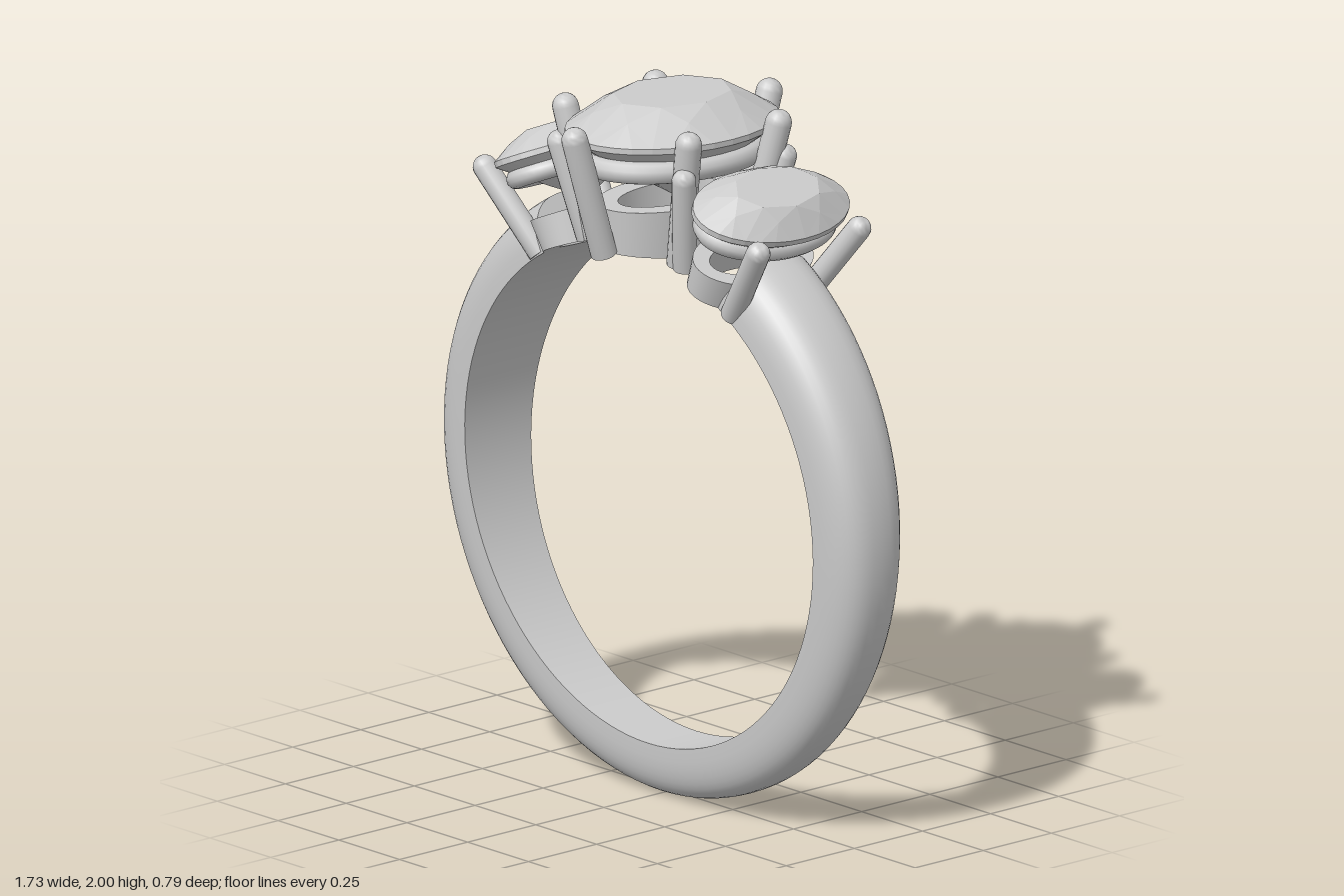
import * as THREE from 'three';
import { toCreasedNormals } from 'three/addons/utils/BufferGeometryUtils.js';
import { ParametricGeometry } from 'three/addons/geometries/ParametricGeometry.js';

const CENTRE_Y = 0.87, INNER = 0.715, THICK = 0.152;
const metal = new THREE.MeshStandardMaterial({ color: 0xcccccc });
const gem = new THREE.MeshStandardMaterial({ color: 0xcccccc, flatShading: true });

function part(name, geometry, material = metal) {
  const mesh = new THREE.Mesh(geometry, material);
  mesh.name = name;
  return mesh;
}

// Open band: flat inside, rounded outside, narrowing towards the bottom
function bandGeometry() {
  const start = THREE.MathUtils.degToRad(30), sweep = 2 * (Math.PI - start);
  const rows = 98;
  const surface = (u, v, target) => {
    const row = Math.round(v * rows);
    const k = THREE.MathUtils.clamp((row - 1) / (rows - 2), 0, 1);
    const a = start + sweep * k;
    const cap = row === 0 || row === rows ? 0 : 1; // closes both ends
    const t = u * 2 * Math.PI;
    const c = Math.cos(t), s = Math.max(0, Math.sin(t));
    const r = INNER + THICK * (cap ? Math.pow(s, 0.75) : 0.5);
    const w = 0.122 + 0.033 * Math.cos(a);
    const z = -w * Math.sign(c) * Math.pow(Math.abs(c), 0.75) * cap;
    target.set(r * Math.sin(a), r * Math.cos(a), z);
  };
  return toCreasedNormals(new ParametricGeometry(surface, 40, rows), 0.8);
}

// Oval collar with a flat top; its underside follows the finger hole
function collarGeometry(rx, rz, top, wall) {
  const surface = (u, v, target) => {
    const corner = Math.round(u * 4) % 4;
    const a = v * 2 * Math.PI;
    const inset = corner >= 2 ? wall : 0;
    const flare = corner === 1 || corner === 2 ? 0.01 : 0;
    const x = (rx - inset + flare) * Math.cos(a);
    const z = (rz - inset + flare) * Math.sin(a);
    const y = corner === 1 || corner === 2 ? top : Math.sqrt(INNER * INNER - x * x);
    target.set(x, y, z);
  };
  return toCreasedNormals(new ParametricGeometry(surface, 4, 48), 0.7);
}

// Oval wire under the stone
function railGeometry(rx, rz, y, radius) {
  const points = [];
  for (let i = 0; i < 24; i++) {
    const a = i / 24 * 2 * Math.PI;
    points.push(new THREE.Vector3(rx * Math.cos(a), y, rz * Math.sin(a)));
  }
  return new THREE.TubeGeometry(new THREE.CatmullRomCurve3(points, true), 64, radius, 10, true);
}

// Round-tipped claw from base to tip
function prong(base, tip, radius) {
  const length = base.distanceTo(tip);
  const profile = [new THREE.Vector2(0, 0), new THREE.Vector2(radius, 0)];
  for (let i = 0; i <= 6; i++) {
    const a = i / 6 * Math.PI / 2;
    profile.push(new THREE.Vector2(radius * Math.cos(a), length + radius * Math.sin(a)));
  }
  const mesh = part('prong', toCreasedNormals(new THREE.LatheGeometry(profile, 16), 0.8));
  mesh.position.copy(base);
  mesh.quaternion.setFromUnitVectors(new THREE.Vector3(0, 1, 0), tip.clone().sub(base).normalize());
  return mesh;
}

// Faceted oval stone: table, stars, kites, girdle and pavilion
function stoneGeometry(rx, rz, girdle, crown, depth) {
  const positions = [], step = Math.PI / 4, edge = 0.016;
  const at = (i, scale, y) => {
    const a = i * step;
    return [rx * scale * Math.cos(a), y, rz * scale * Math.sin(a)];
  };
  const tri = (a, b, c) => positions.push(...a, ...b, ...c);
  const table = i => at(i, 0.56, girdle + crown);
  const star = i => at(i + 0.5, 0.76, girdle + crown * 0.6);
  const rim = i => at(i, 1, girdle);
  const low = i => at(i, 1, girdle - edge);
  const lower = i => at(i + 0.5, 0.4, girdle - edge - (depth - edge) * 0.62);
  const culet = [0, girdle - depth, 0];
  for (let i = 0; i < 8; i++) {
    tri([0, girdle + crown, 0], table(i + 1), table(i));
    tri(table(i), table(i + 1), star(i));
    tri(table(i), star(i), rim(i));
    tri(table(i), rim(i), star(i - 1));
    tri(culet, low(i).map((c, k) => c * 0.25 + culet[k] * 0.75), lower(i));
    tri(culet, lower(i), low(i + 1).map((c, k) => c * 0.25 + culet[k] * 0.75));
    tri(low(i).map((c, k) => c * 0.25 + culet[k] * 0.75), low(i), lower(i));
    tri(low(i + 1).map((c, k) => c * 0.25 + culet[k] * 0.75), lower(i), low(i + 1));
    for (let j = 0; j < 4; j++) {
      const a = i + j / 4, b = a + 0.25;
      tri(star(i), rim(b), rim(a));
      tri(rim(a), rim(b), low(b));
      tri(rim(a), low(b), low(a));
      tri(lower(i), low(a), low(b));
    }
  }
  const geometry = new THREE.BufferGeometry();
  geometry.setAttribute('position', new THREE.Float32BufferAttribute(positions, 3));
  geometry.computeVertexNormals();
  return geometry;
}

// One stone with collar, rail and prongs; local y is measured from the ring's centre
function setting(name, angle, s) {
  const group = new THREE.Group();
  group.name = name;
  group.add(
    part('stone', stoneGeometry(...s.stone), gem),
    part('collar', collarGeometry(...s.collar)),
    part('rail', railGeometry(...s.rail)),
  );
  for (const [base, tip] of s.prongs) {
    // Mirror each prong over x and z, skipping duplicates on an axis
    for (const sx of tip[0] ? [1, -1] : [1]) {
      for (const sz of [1, -1]) {
        const flip = new THREE.Vector3(sx, 1, sz);
        group.add(prong(
          new THREE.Vector3(...base).multiply(flip),
          new THREE.Vector3(...tip).multiply(flip),
          s.prongRadius,
        ));
      }
    }
  }
  group.position.y = CENTRE_Y;
  group.rotation.z = -angle;
  return group;
}

export function createModel() {
  const ring = new THREE.Group();
  ring.name = 'threeStoneRing';

  const band = part('band', bandGeometry());
  band.position.y = CENTRE_Y;
  ring.add(band);

  // Large middle stone, six prongs
  ring.add(setting('centreSetting', 0, {
    stone: [0.25, 0.325, 1.048, 0.082, 0.21],
    collar: [0.145, 0.23, 0.84, 0.06],
    rail: [0.2, 0.27, 0.965, 0.032],
    prongs: [
      [[0, 0.715, 0.25], [0, 1.06, 0.357]],
      [[0.172, 0.7, 0.125], [0.253, 1.065, 0.165]],
    ],
    prongRadius: 0.037,
  }));

  // Smaller side stones, four prongs each, leaning outwards
  for (const side of [1, -1]) {
    ring.add(setting(side > 0 ? 'leftSetting' : 'rightSetting', side * 0.428, {
      stone: [0.155, 0.26, 0.985, 0.062, 0.16],
      collar: [0.11, 0.19, 0.805, 0.05],
      rail: [0.12, 0.21, 0.925, 0.027],
      prongs: [[[0.108, 0.715, 0.13], [0.168, 0.985, 0.185]]],
      prongRadius: 0.034,
    }));
  }
  return ring;
}
